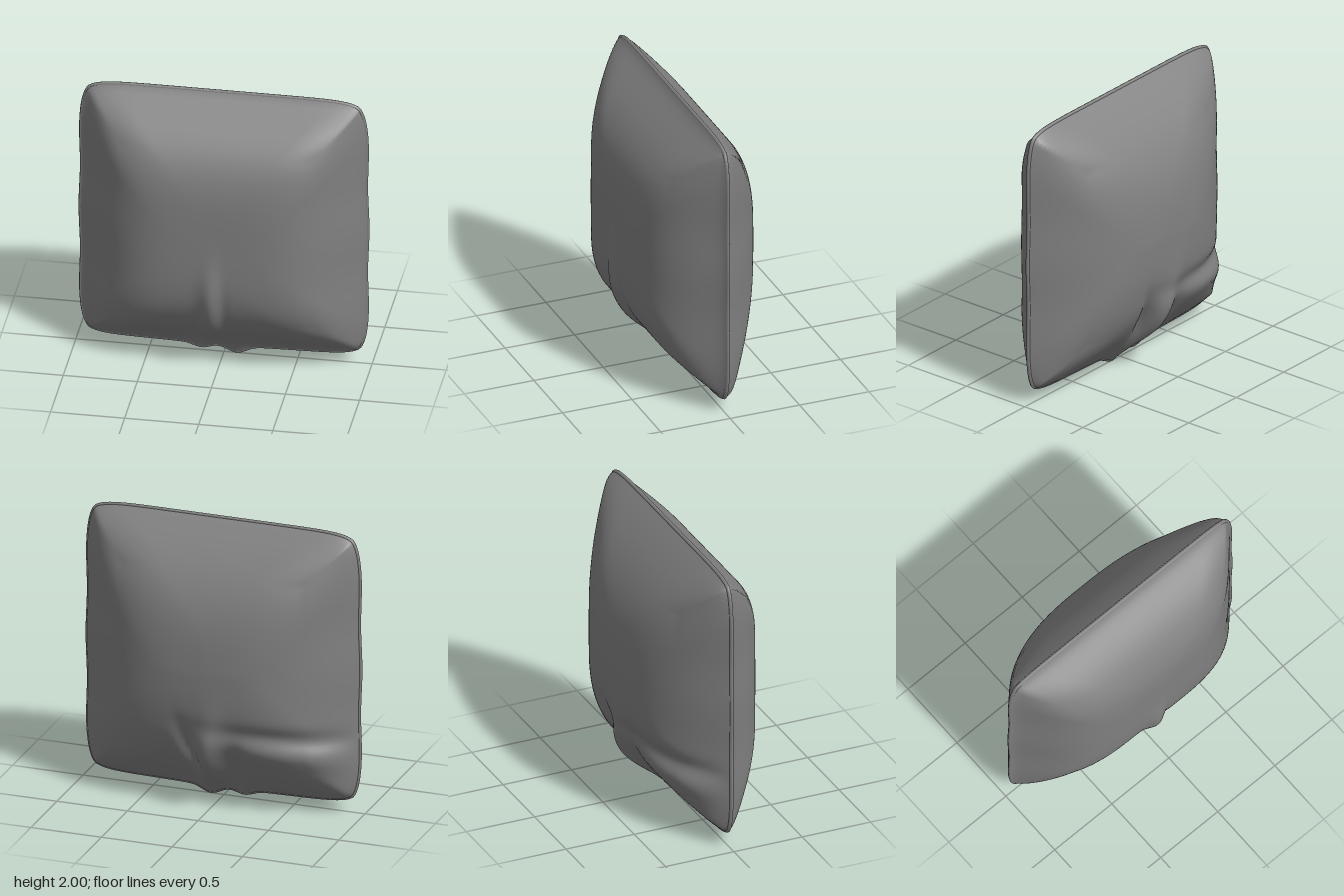
import * as THREE from 'three';

const SEAM = 0.014;
const bump = (d, w) => Math.exp(-(d * d) / (w * w));

// Pillow outline: a square with pulled-in corners and a puckered bottom edge.
function outline(u, v) {
  const corner = Math.pow(u * v, 8);
  const x = u * (0.963 - 0.055 * corner + 0.005 * Math.cos(v * 9) * (1 - v * v));
  let y = 1.03 + v * (0.956 - 0.045 * corner);
  const low = Math.pow(Math.max(0, -v), 10);
  y -= low * (0.03 * bump(x + 0.15, 0.07) + 0.048 * bump(x - 0.09, 0.08) + 0.012 * bump(x, 0.4));
  return [x, y];
}

// Soft ridge (or groove, if amp is negative) that fades out past both ends of a line.
function fold(x, y, [x0, y0, x1, y1, width, amp]) {
  const half = Math.hypot(x1 - x0, y1 - y0) / 2;
  const ax = (x1 - x0) / (2 * half), ay = (y1 - y0) / (2 * half);
  const dx = x - (x0 + x1) / 2, dy = y - (y0 + y1) / 2;
  return amp * bump(dx * ax + dy * ay, half) * bump(dx * ay - dy * ax, width);
}

// Each fold: start x, y, end x, y, width, height.
const sides = {
  frontPanel: {
    dir: 1, depth: 0.408, a: 4, b: 1.4, soft: 0.25,
    folds: [
      [-0.02, 0.85, -0.03, 0.38, 0.07, 0.035],
      [-0.03, 0.5, -0.07, 0.08, 0.07, 0.035],
      [0.05, 0.75, 0.04, 0.3, 0.04, -0.015],
      [-0.15, 0.35, -0.17, 0.05, 0.05, -0.02],
    ],
  },
  backPanel: {
    dir: -1, depth: 0.438, a: 2.6, b: 1, soft: 0.35,
    folds: [
      [0.07, 0.02, -0.04, 0.6, 0.09, 0.095],
      [0.17, 0.6, 0.08, 0.2, 0.05, -0.05],
      [-0.12, 0.15, -0.2, 0.5, 0.07, -0.025],
      [-0.1, 0.61, -1.1, 0.53, 0.07, -0.04],
      [-0.2, 0.47, -1.1, 0.4, 0.1, 0.03],
    ],
  },
};

// One stuffed half of the pillow, made by inflating a flat grid.
function panel({ dir, depth, a, b, soft, folds }) {
  const geo = new THREE.PlaneGeometry(2, 2, 90, 90);
  if (dir < 0) geo.rotateY(Math.PI);
  const pos = geo.attributes.position;
  for (let i = 0; i < pos.count; i++) {
    const u = pos.getX(i), v = pos.getY(i);
    const [x, y] = outline(u, v);
    // Smooth minimum of the distances to the nearest edges
    const tx = 1 - Math.abs(u), ty = 1 - Math.abs(v);
    const h = Math.max(0, soft - Math.abs(tx - ty));
    const edge = Math.min(tx, ty);
    const t = Math.max(0, edge - (h * h) / (4 * soft) * Math.min(1, edge * 3));
    let z = depth * Math.pow(1 - Math.pow(1 - t, a), b);
    const give = 1 - Math.exp(-12 * t);
    for (const f of folds) z += fold(x, y, f) * give;
    // Panels meet the seam at its full thickness
    pos.setXYZ(i, x, y, dir * (SEAM + Math.max(0, z)));
  }
  geo.computeVertexNormals();
  return geo;
}

// Thin rounded edge that follows the outline and joins the panels.
function seam() {
  const pts = [], n = 40;
  for (let side = 0; side < 4; side++) {
    for (let i = 0; i < n; i++) {
      const s = -1 + (2 * i) / n;
      const [u, v] = [[s, -1], [1, s], [-s, 1], [-1, -s]][side];
      pts.push(new THREE.Vector3(...outline(u, v), 0));
    }
  }
  return new THREE.TubeGeometry(new THREE.CatmullRomCurve3(pts, true), 320, SEAM, 8, true);
}

export function createModel() {
  const pillow = new THREE.Group();
  pillow.name = 'pillow';
  const fabric = new THREE.MeshStandardMaterial({ color: 0x808080, side: THREE.DoubleSide });
  const add = (name, geo) => {
    const mesh = new THREE.Mesh(geo, fabric);
    mesh.name = name;
    pillow.add(mesh);
  };
  for (const [name, spec] of Object.entries(sides)) add(name, panel(spec));
  add('seam', seam());

  // Rest the lowest point on the ground
  const low = new THREE.Box3().setFromObject(pillow).min.y;
  pillow.children.forEach((m) => m.geometry.translate(0, -low, 0));
  return pillow;
}
